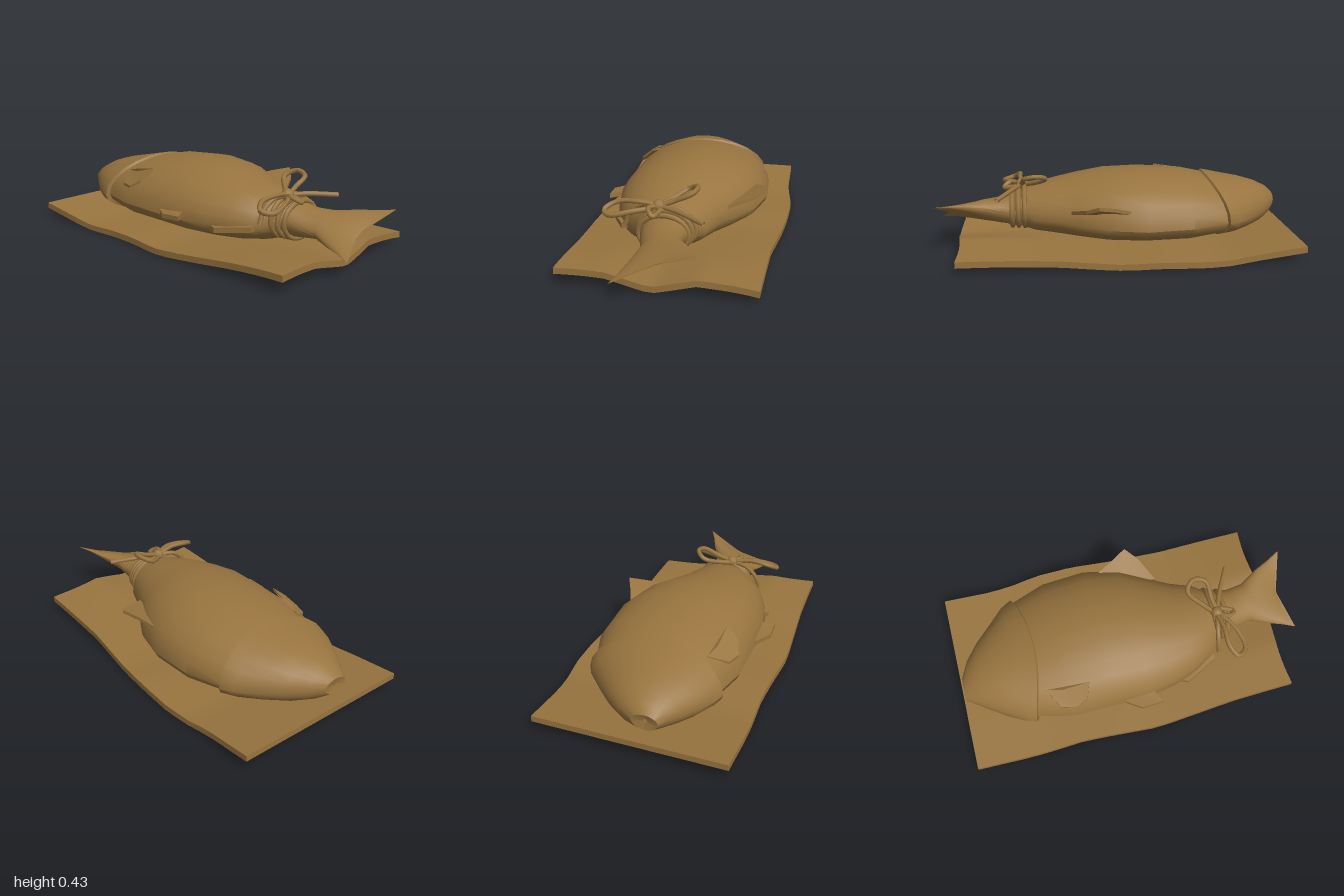
import * as THREE from 'three';
import { toCreasedNormals } from 'three/addons/utils/BufferGeometryUtils.js';

const brown = new THREE.MeshStandardMaterial({ color: 0x98743f, side: THREE.DoubleSide });
brown.name = 'brown';

function part(name, geometry, crease = 0.6) {
  const mesh = new THREE.Mesh(toCreasedNormals(geometry, crease), brown);
  mesh.name = name;
  return mesh;
}

// Skin rings of equal length, given as arrays of Vector3, running along +x.
function loft(rings) {
  const n = rings[0].length, pos = [], index = [];
  rings.forEach(r => r.forEach(p => pos.push(p.x, p.y, p.z)));
  for (let i = 0; i < rings.length - 1; i++) {
    for (let j = 0; j < n; j++) {
      const k = (j + 1) % n;
      const a = i * n + j, b = i * n + k, c = a + n, d = b + n;
      index.push(a, c, b, b, c, d);
    }
  }
  const g = new THREE.BufferGeometry();
  g.setAttribute('position', new THREE.Float32BufferAttribute(pos, 3));
  g.setIndex(index);
  return g;
}

// Oval ring; bend slides its sides along x, tilt rolls it about x.
function ring([x, z0, z1, yLow, yMid, yHigh, bend = 0, tilt = 0], n = 24) {
  const out = [], zc = (z0 + z1) / 2, w = (z1 - z0) / 2;
  for (let j = 0; j < n; j++) {
    const t = j / n * Math.PI * 2, c = Math.cos(t), s = Math.sin(t);
    const u = c * w, v = s * (s > 0 ? yHigh - yMid : yMid - yLow);
    out.push(new THREE.Vector3(x + bend * c * c,
      yMid - u * Math.sin(tilt) + v * Math.cos(tilt),
      zc + u * Math.cos(tilt) + v * Math.sin(tilt)));
  }
  return out;
}

// Flat fin from an outline, thickened by an offset in y.
function fin(name, pts, thick = 0.02) {
  const p = pts.map(a => new THREE.Vector3(...a)), n = p.length, pos = [];
  const lower = p.map(v => v.clone().add(new THREE.Vector3(0, -thick, 0)));
  const tri = (...v) => v.forEach(q => pos.push(q.x, q.y, q.z));
  for (let i = 1; i < n - 1; i++) {
    tri(p[0], p[i + 1], p[i]);
    tri(lower[0], lower[i], lower[i + 1]);
  }
  for (let i = 0; i < n; i++) {
    const k = (i + 1) % n;
    tri(p[i], p[k], lower[k]);
    tri(p[i], lower[k], lower[i]);
  }
  const g = new THREE.BufferGeometry();
  g.setAttribute('position', new THREE.Float32BufferAttribute(pos, 3));
  return part(name, g, 0.3);
}

function rope(name, pts, closed = false, r = 0.014) {
  const curve = new THREE.CatmullRomCurve3(pts.map(a => new THREE.Vector3(...a)), closed);
  return part(name, new THREE.TubeGeometry(curve, 28, r, 6, closed), 1.2);
}

// Piecewise linear lookup in [position, value] pairs.
function lookup(table, t) {
  for (let i = 1; i < table.length; i++) {
    const [a, va] = table[i - 1], [b, vb] = table[i];
    if (t <= b) return va + (vb - va) * Math.max(0, (t - a) / (b - a));
  }
  return table[table.length - 1][1];
}

function wrappingSheet() {
  const back = [[-1, -0.51], [-0.7, -0.515], [-0.42, -0.555], [-0.2, -0.555], [0, -0.54], [0.35, -0.51], [0.87, -0.51]];
  const front = [[-1, 0.535], [-0.7, 0.535], [-0.38, 0.52], [0.05, 0.55], [0.5, 0.52], [0.86, 0.515]];
  const leftEnd = [[-0.55, 0.06], [-0.5, 0.075], [-0.2, 0.1], [0.02, 0.05], [0.25, 0.095], [0.52, 0.1]];
  const middle = [[-1, 0.09], [-0.57, 0.035], [-0.2, 0.045], [0, 0.035], [0.3, 0.055], [0.87, 0.07]];
  const g = new THREE.BoxGeometry(1.86, 1, 1, 22, 1, 20);
  const p = g.attributes.position;
  for (let i = 0; i < p.count; i++) {
    const x = p.getX(i) - 0.065, f = p.getZ(i) + 0.5;
    const z = THREE.MathUtils.lerp(lookup(back, x), lookup(front, x), f);
    const k = THREE.MathUtils.smoothstep(x, 0.2, 0.87);
    const y = THREE.MathUtils.lerp(lookup(middle, x), lookup(leftEnd, z), k);
    p.setXYZ(i, x + 0.012 * k * Math.cos(z * 9), p.getY(i) > 0 ? y : Math.max(0.004, y - 0.034), z);
  }
  return part('wrappingSheet', g, 0.5);
}

export function createModel() {
  const model = new THREE.Group();
  model.name = 'fishOnSheet';
  model.add(wrappingSheet());

  // Body: x, back z, front z, low y, middle y, high y, bend, tilt
  const head = [
    [-0.955, 0.09, 0.11, 0.19, 0.2, 0.21],
    [-0.965, 0.03, 0.17, 0.15, 0.2, 0.24],
    [-0.92, -0.06, 0.2, 0.12, 0.2, 0.28],
    [-0.85, -0.15, 0.25, 0.09, 0.19, 0.315],
    [-0.75, -0.24, 0.31, 0.07, 0.18, 0.345, -0.01],
    [-0.63, -0.33, 0.36, 0.06, 0.18, 0.37, -0.04],
    [-0.53, -0.365, 0.38, 0.055, 0.18, 0.392, -0.08],
    [-0.52, -0.345, 0.36, 0.065, 0.18, 0.38, -0.08],
  ];
  const trunk = [
    [-0.55, -0.34, 0.35, 0.06, 0.18, 0.375, -0.06],
    [-0.4, -0.415, 0.4, 0.05, 0.175, 0.41],
    [-0.15, -0.43, 0.4, 0.05, 0.17, 0.43],
    [0.05, -0.385, 0.4, 0.05, 0.17, 0.42],
    [0.2, -0.3, 0.37, 0.055, 0.17, 0.39],
    [0.32, -0.23, 0.33, 0.06, 0.18, 0.362],
    [0.45, -0.18, 0.26, 0.08, 0.18, 0.335],
    [0.52, -0.12, 0.16, 0.1, 0.2, 0.31],
    [0.6, -0.1, 0.13, 0.11, 0.2, 0.28],
  ];
  const tail = [
    [0.56, -0.11, 0.15, 0.11, 0.2, 0.295],
    [0.64, -0.1, 0.13, 0.12, 0.2, 0.27, 0, 0.15],
    [0.73, -0.11, 0.11, 0.14, 0.2, 0.26, 0, 0.35],
    [0.81, -0.17, 0.15, 0.16, 0.2, 0.24, 0.02, 0.39],
    [0.89, -0.21, 0.18, 0.18, 0.2, 0.22, 0.03, 0.39],
    [0.93, -0.25, 0.21, 0.193, 0.197, 0.2, 0.065, 0.39],
    [0.928, -0.02, -0.018, 0.195, 0.197, 0.199, 0, 0.39],
  ];
  model.add(part('head', loft(head.map(r => ring(r)))));
  model.add(part('trunk', loft(trunk.map(r => ring(r)))));
  model.add(part('tail', loft(tail.map(r => ring(r)))));

  // Fins
  model.add(fin('dorsalFin', [[0.08, 0.25, -0.28], [-0.1, 0.26, -0.36], [0.02, 0.3, -0.41],
    [0.115, 0.325, -0.46], [0.18, 0.29, -0.395], [0.25, 0.25, -0.26]]));
  model.add(fin('pelvicFin', [[-0.12, 0.2, 0.36], [-0.1, 0.2, 0.405], [-0.02, 0.205, 0.46],
    [0.1, 0.21, 0.455], [0.05, 0.22, 0.36]], 0.025));
  model.add(fin('analFin', [[0.18, 0.17, 0.3], [0.2, 0.17, 0.34], [0.28, 0.17, 0.37],
    [0.38, 0.18, 0.32], [0.46, 0.19, 0.28], [0.45, 0.2, 0.2]], 0.03));
  model.add(fin('pectoralFin', [[-0.52, 0.33, 0.26], [-0.43, 0.355, 0.285], [-0.28, 0.38, 0.29],
    [-0.31, 0.32, 0.36], [-0.38, 0.28, 0.385], [-0.46, 0.28, 0.36]], 0.015));

  // Rope wound around the tail, tied in a bow
  for (const [i, x] of [0.505, 0.54, 0.575].entries()) {
    const pts = ring([x, -0.135 + i * 0.012, 0.18 - i * 0.012, 0.1, 0.2, 0.325 - i * 0.012], 10);
    model.add(rope('ropeCoil', pts.map(v => v.toArray()), true));
  }
  const knot = part('knot', new THREE.SphereGeometry(0.035, 8, 6), 1);
  knot.position.set(0.52, 0.33, 0.06);
  model.add(knot);
  model.add(rope('backBowLoop', [[0.52, 0.33, 0.06], [0.45, 0.35, 0], [0.385, 0.39, -0.08],
    [0.43, 0.415, -0.13], [0.5, 0.4, -0.11], [0.51, 0.36, -0.02]], true));
  model.add(rope('frontBowLoop', [[0.52, 0.33, 0.06], [0.53, 0.35, 0.17], [0.53, 0.34, 0.28],
    [0.57, 0.31, 0.335], [0.62, 0.3, 0.3], [0.6, 0.32, 0.18]], true));
  model.add(rope('backRopeEnd', [[0.52, 0.33, 0.06], [0.57, 0.325, -0.05], [0.655, 0.305, -0.2]]));
  model.add(rope('frontRopeEnd', [[0.52, 0.33, 0.06], [0.58, 0.335, 0.1], [0.62, 0.31, 0.07], [0.55, 0.32, 0.04]]));
  model.add(rope('sideRopeEnd', [[0.52, 0.33, 0.06], [0.5, 0.32, 0.16], [0.49, 0.27, 0.22], [0.49, 0.2, 0.25]]));
  return model;
}
